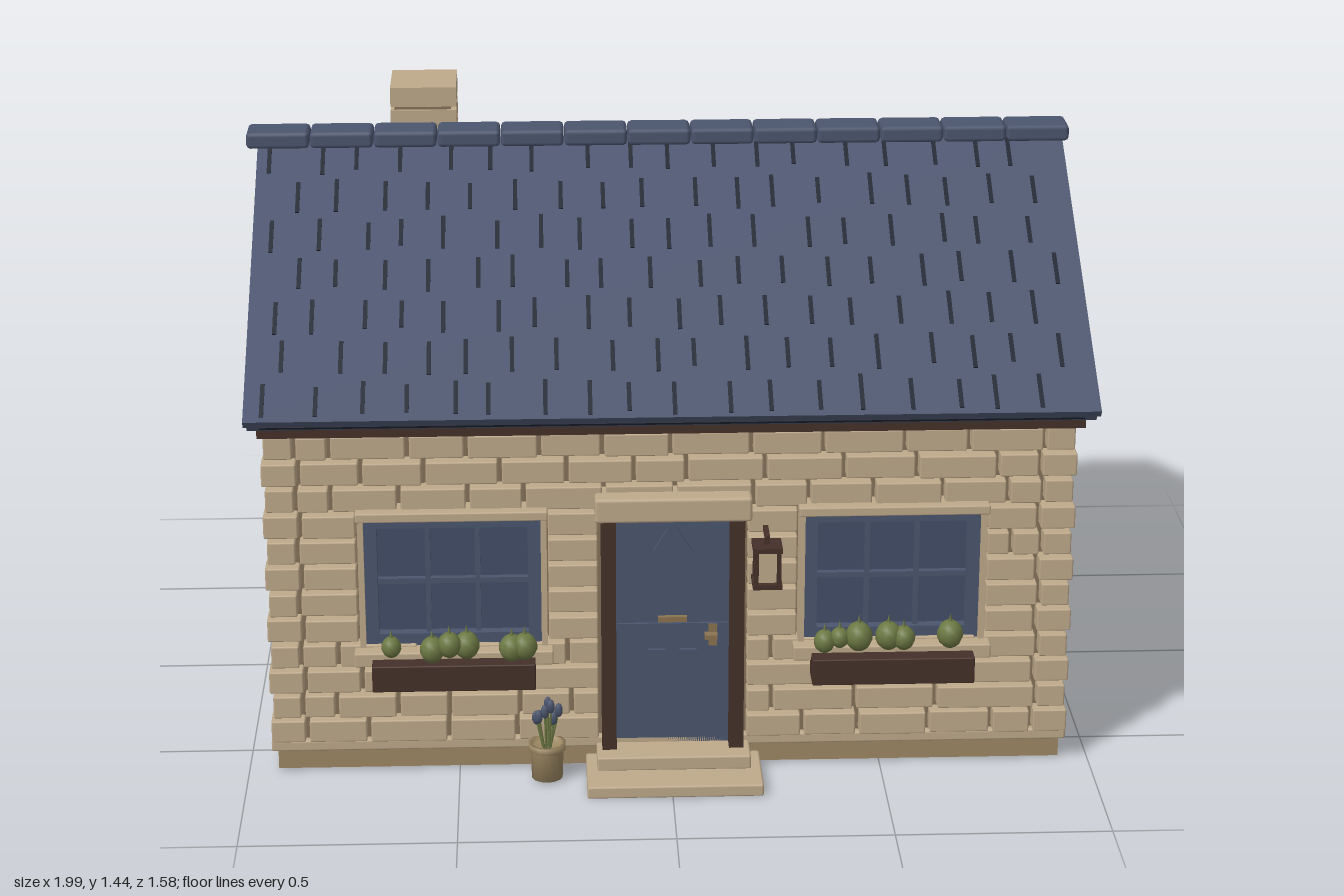
import * as THREE from 'three';
import { RoundedBoxGeometry } from 'three/addons/geometries/RoundedBoxGeometry.js';

const mat = (name, color) => {
  const m = new THREE.MeshStandardMaterial({ color });
  m.name = name;
  return m;
};

export function createModel() {
  const stone = mat('sandstone', 0xbea98a);
  const plinthMat = mat('plinth stone', 0x9c8762);
  const mortar = mat('mortar', 0x84715a);
  const slate = mat('blue slate', 0x4b556e);
  const gap = mat('dark slate gap', 0x1f2531);
  const glass = mat('window glass', 0x434d69);
  const wood = mat('dark wood', 0x453029);
  const green = mat('leaf green', 0x6c7843);
  const brass = mat('brass', 0x8a7350);

  const root = new THREE.Group();
  root.name = 'cottage';

  // Small seeded random in 0..1
  let seed = 11;
  const rnd = () => (seed = (seed * 16807) % 2147483647) / 2147483647;

  const group = (name, parent = root) => {
    const g = new THREE.Group();
    g.name = name;
    parent.add(g);
    return g;
  };
  const add = (name, geo, m, x, y, z, parent = root) => {
    const mesh = new THREE.Mesh(geo, m);
    mesh.name = name;
    mesh.position.set(x, y, z);
    parent.add(mesh);
    return mesh;
  };
  // Box from its limits; r rounds the edges
  const box = (name, m, x0, x1, y0, y1, z0, z1, parent = root, r = 0) => {
    const s = [x1 - x0, y1 - y0, z1 - z0];
    const geo = r ? new RoundedBoxGeometry(...s, 1, r) : new THREE.BoxGeometry(...s);
    return add(name, geo, m, (x0 + x1) / 2, (y0 + y1) / 2, (z0 + z1) / 2, parent);
  };

  // Base, walls and gable
  box('plinth', plinthMat, -0.93, 0.93, 0.005, 0.055, -0.71, 0.61);
  box('plinthLedge', stone, -0.945, 0.945, 0.052, 0.08, -0.72, 0.62, root, 0.006);
  box('walls', stone, -0.925, 0.925, 0.08, 0.885, -0.7, 0.58);
  box('mortarBed', mortar, -0.925, 0.925, 0.08, 0.86, 0.58, 0.602);
  const tri = new THREE.Shape([[-0.68, 0.898], [0.6, 0.898], [-0.04, 1.285]].map(p => new THREE.Vector2(...p)));
  const gable = add('gable', new THREE.ExtrudeGeometry(tri, { depth: 1.85, bevelEnabled: false }), stone, 0.925, 0, 0);
  gable.rotation.y = -Math.PI / 2;
  box('eaveBeam', wood, -0.947, 0.955, 0.858, 0.91, 0.568, 0.655);

  // Stone courses, broken by the door and windows
  const openings = [[-0.725, -0.29, 4, 9], [-0.165, 0.175, 0, 9], [0.3, 0.735, 4, 9]];
  const facade = group('stoneFacade');
  const pitch = 0.065, g = 0.005;
  for (let row = 0; row < 12; row++) {
    const y = 0.08 + row * pitch;
    const corner = row % 2 ? 0.07 : 0.085;
    const out = row % 2 ? 0.935 : 0.942;
    const layStone = (a, b) => box('stone', stone, a + g, b - g, y + g, y + pitch - g, 0.581, 0.64 + rnd() * 0.008, facade, 0.004);
    layStone(-out - g, -out + corner);
    layStone(out - corner, out + g);
    let start = -out + corner;
    const cuts = openings.filter(o => row >= o[2] && row < o[3]);
    for (const [cutL, cutR] of [...cuts, [out - corner, 0]]) {
      const offset = row % 2 ? 0.5 : 1;
      let x = start, first = true;
      while (x < cutL - 0.001) {
        let w = (0.12 + rnd() * 0.08) * (first ? offset : 1);
        if (cutL - x - w < 0.06) w = cutL - x;
        layStone(x, x + w);
        x += w;
        first = false;
      }
      start = cutR;
    }
  }

  // Windows with sill, lintel and planted box
  const makeWindow = (name, cx, plants) => {
    const w = group(name);
    w.position.x = cx;
    box('pane', glass, -0.2, 0.2, 0.33, 0.655, 0.6, 0.61, w);
    for (const s of [-1, 1]) {
      box('frameSide', slate, s * 0.19 - 0.015, s * 0.19 + 0.015, 0.33, 0.66, 0.6, 0.635, w);
      box('jamb', stone, s * 0.212 - 0.007, s * 0.212 + 0.007, 0.33, 0.66, 0.6, 0.648, w);
      box('glazingBar', slate, s * 0.058 - 0.006, s * 0.058 + 0.006, 0.34, 0.65, 0.605, 0.625, w);
    }
    for (const y of [0.345, 0.64]) box('frameRail', slate, -0.2, 0.2, y - 0.015, y + 0.015, 0.6, 0.635, w);
    box('crossBar', slate, -0.19, 0.19, 0.482, 0.495, 0.605, 0.625, w);
    box('lintel', stone, -0.222, 0.222, 0.653, 0.676, 0.6, 0.672, w, 0.004);
    box('sill', stone, -0.232, 0.232, 0.295, 0.33, 0.6, 0.682, w, 0.004);
    box('planter', wood, -0.19, 0.19, 0.25, 0.315, 0.65, 0.724, w, 0.003);
    for (const px of plants) {
      const r = 0.022 + rnd() * 0.011;
      const z = 0.675 + rnd() * 0.025;
      const bush = add('bush', new THREE.SphereGeometry(r, 10, 7), green, px, 0.345 + rnd() * 0.015, z, w);
      bush.scale.y = 1.1;
      add('bud', new THREE.ConeGeometry(0.006, 0.025, 5), green, px, bush.position.y + r * 1.1 + 0.006, z, w);
    }
  };
  makeWindow('rightWindow', -0.507, [-0.145, -0.05, -0.01, 0.03, 0.135, 0.165]);
  makeWindow('leftWindow', 0.518, [-0.16, -0.125, -0.08, -0.01, 0.025, 0.135]);

  // Door with posts, raised panels and fittings
  const door = group('door');
  door.position.x = 0.005;
  box('doorLeaf', slate, -0.135, 0.135, 0.06, 0.655, 0.6, 0.62, door);
  for (const s of [-1, 1]) {
    box('doorPost', wood, s * 0.15 - 0.017, s * 0.15 + 0.017, 0.05, 0.655, 0.59, 0.66, door);
    const px = s * 0.03;
    const panel = new THREE.Shape([[px - s * 0.018, 0.61], [px + s * 0.016, 0.555], [px + s * 0.016, 0.4], [px - s * 0.018, 0.4]]
      .map(p => new THREE.Vector2(...p)));
    add('upperPanel', new THREE.ExtrudeGeometry(panel, { depth: 0.008, bevelEnabled: false }), slate, 0, 0, 0.62, door);
    box('lowerPanel', slate, s * 0.037 - 0.02, s * 0.037 + 0.02, 0.13, 0.305, 0.62, 0.628, door);
  }
  box('middleRail', slate, -0.13, 0.13, 0.362, 0.372, 0.62, 0.627, door);
  box('letterSlot', brass, -0.034, 0.034, 0.377, 0.39, 0.62, 0.632, door);
  box('latchPlate', brass, 0.085, 0.105, 0.315, 0.37, 0.62, 0.63, door);
  box('latchHandle', brass, 0.075, 0.105, 0.338, 0.35, 0.628, 0.65, door);
  box('doorLintel', stone, -0.182, 0.182, 0.65, 0.71, 0.59, 0.69, door, 0.008);
  box('lowerStep', stone, -0.205, 0.208, 0, 0.03, 0.58, 0.793, door, 0.005);
  box('upperStep', stone, -0.18, 0.183, 0.028, 0.063, 0.58, 0.705, door, 0.005);

  // Wall lantern
  const lantern = group('lantern');
  lantern.position.set(0.22, 0, 0.705);
  box('lanternGlass', stone, -0.024, 0.024, 0.515, 0.595, -0.024, 0.024, lantern);
  for (const y of [0.507, 0.597]) box('lanternCap', wood, -0.034, 0.034, y - 0.006, y + 0.006, -0.034, 0.034, lantern);
  for (const sx of [-1, 1]) for (const sz of [-1, 1])
    box('lanternBar', wood, sx * 0.026 - 0.005, sx * 0.026 + 0.005, 0.505, 0.597, sz * 0.026 - 0.005, sz * 0.026 + 0.005, lantern);
  box('lanternHanger', wood, -0.006, 0.006, 0.597, 0.622, -0.006, 0.006, lantern);
  box('lanternBracket', wood, -0.006, 0.006, 0.614, 0.624, -0.062, 0.008, lantern);

  // Flower pot
  const pot = group('flowerPot');
  pot.position.set(-0.293, 0, 0.675);
  const potProfile = [[0, 0.005], [0.037, 0.005], [0.04, 0.078], [0.045, 0.078], [0.045, 0.093], [0.036, 0.093], [0.034, 0.08], [0, 0.08]];
  add('pot', new THREE.LatheGeometry(potProfile.map(p => new THREE.Vector2(...p)), 14), plinthMat, 0, 0, 0, pot);
  for (let i = 0; i < 7; i++) {
    const a = i * 2.4, r = 0.016 + 0.018 * (i % 3) / 2;
    const tip = new THREE.Vector3(Math.cos(a) * r, 0.155 + 0.012 * (i % 4), Math.sin(a) * r);
    const foot = new THREE.Vector3(Math.cos(a) * 0.008, 0.075, Math.sin(a) * 0.008);
    add('stem', new THREE.TubeGeometry(new THREE.LineCurve3(foot, tip), 1, 0.003, 5), green, 0, 0, 0, pot);
    add('blossom', new THREE.SphereGeometry(0.01, 7, 5), slate, tip.x, tip.y, tip.z, pot).scale.y = 1.8;
  }

  // Two roof slopes with staggered slate joints
  const pitchAngle = Math.atan(0.607), slopeLen = 0.878;
  for (const [name, turn] of [['frontRoof', 0], ['backRoof', Math.PI]]) {
    const side = group(name);
    side.position.set(0.004, 1.374, -0.04);
    side.rotation.y = turn;
    const slope = group('slope', side);
    slope.rotation.x = pitchAngle;
    box('slateLayer', slate, -0.977, 0.977, -0.018, 0, 0, slopeLen, slope);
    box('roofBoard', slate, -0.97, 0.97, -0.04, -0.018, 0.02, slopeLen - 0.008, slope);
    box('eaveJoint', gap, -0.94, 0.94, -0.024, -0.018, slopeLen - 0.01, slopeLen + 0.002, slope);
    for (let row = 0; row < 7; row++) {
      for (let i = 0; i < 18; i++) {
        const x = -0.93 + i * 0.105 + (row % 2) * 0.05 + (rnd() - 0.5) * 0.035;
        const z = 0.065 + row * 0.125 + (rnd() - 0.5) * 0.015;
        const len = Math.min(0.08 + rnd() * 0.025, 2 * (slopeLen - z));
        box('slateJoint', gap, x - 0.005, x + 0.005, -0.002, 0.002, z - len / 2, z + len / 2, slope);
      }
    }
  }

  // Ridge caps
  const ridge = group('ridge');
  const capW = 1.995 / 13;
  for (let i = 0; i < 13; i++) {
    const x = -1 + i * capW;
    box('ridgeCap', slate, x + 0.001, x + capW - 0.001, 1.36, 1.4, -0.091, 0.008, ridge, 0.01);
  }

  // Chimney in stacked courses around a recessed core
  const chimney = group('chimney');
  box('chimneyCore', mortar, -0.65, -0.51, 1.11, 1.43, -0.41, -0.25, chimney);
  for (let i = 0; i < 6; i++) {
    const y = 1.107 + i * 0.0577;
    box('chimneyCourse', stone, -0.66, -0.497, y, y + 0.049, -0.42, -0.242, chimney);
  }
  return root;
}
